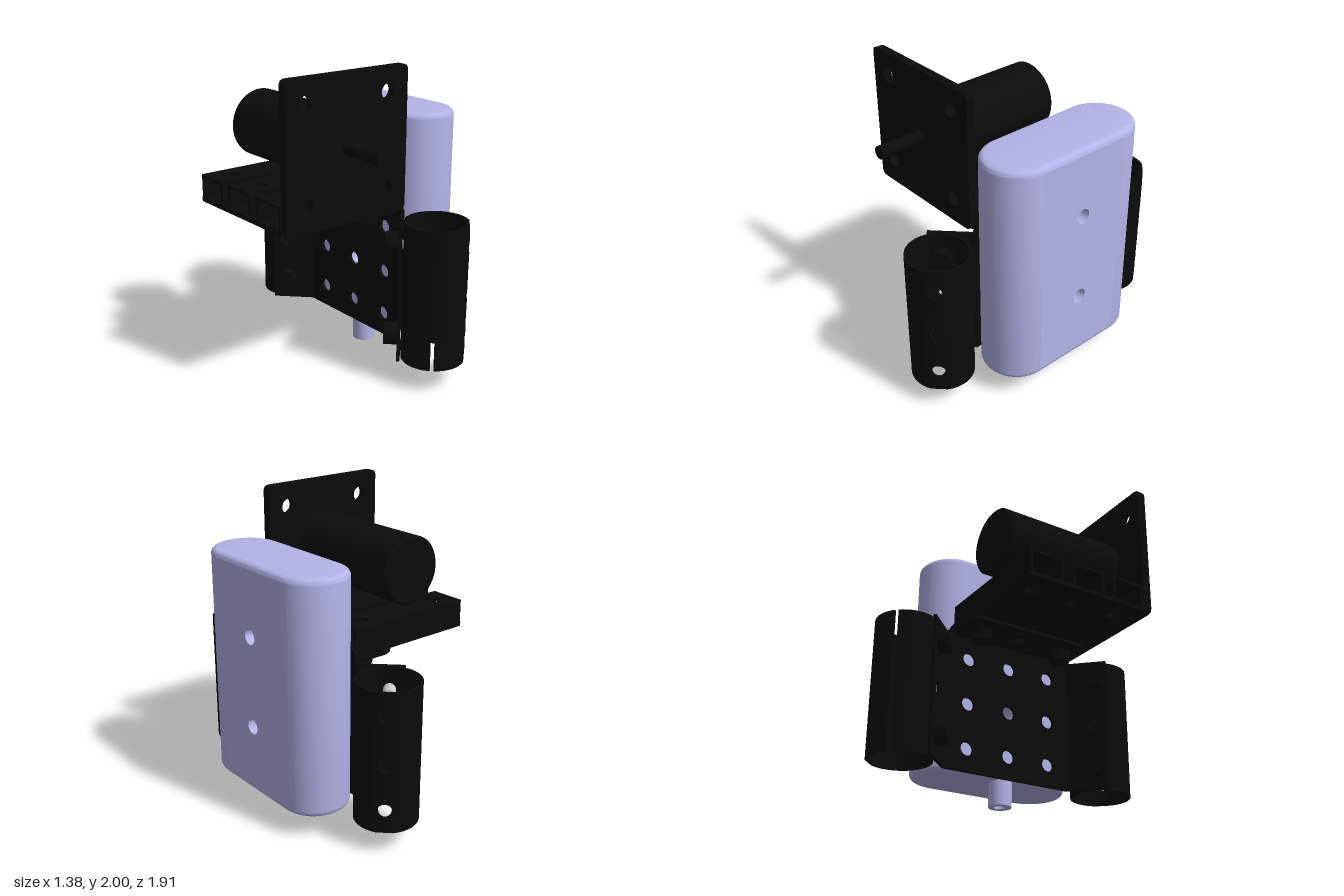
import * as THREE from 'three';
import { mergeGeometries, toCreasedNormals } from 'three/addons/utils/BufferGeometryUtils.js';

const mat = (color) => new THREE.MeshStandardMaterial({ color, side: THREE.DoubleSide });
const black = mat(0x0b0b0b), lavender = mat(0xb3b3e8), grey = mat(0xcccccc);

function add(parent, name, geometry, material, x = 0, y = 0, z = 0) {
  const mesh = new THREE.Mesh(geometry, material);
  mesh.name = name;
  mesh.position.set(x, y, z);
  parent.add(mesh);
  return mesh;
}

// Outline from corner points, with round holes given as [x, y, radius]
function outline(points, holes = []) {
  const shape = new THREE.Shape(points.map(([x, y]) => new THREE.Vector2(x, y)));
  for (const [x, y, r] of holes) shape.holes.push(new THREE.Path().absarc(x, y, r, 0, Math.PI * 2, true));
  return shape;
}
const rect = (x0, y0, x1, y1) => [[x0, y0], [x1, y0], [x1, y1], [x0, y1]];
const rounded = (x0, y0, x1, y1, c) => [[x0 + c, y0], [x1 - c, y0], [x1 - c * 0.3, y0 + c * 0.3], [x1, y0 + c],
  [x1, y1 - c], [x1 - c * 0.3, y1 - c * 0.3], [x1 - c, y1], [x0 + c, y1], [x0 + c * 0.3, y1 - c * 0.3],
  [x0, y1 - c], [x0, y0 + c], [x0 + c * 0.3, y0 + c * 0.3]];
const slab = (shape, depth) => new THREE.ExtrudeGeometry(shape, { depth, bevelEnabled: false, curveSegments: 16 });

// Pad: stadium cross-sections stacked upward, flat sides left open for the drilled panels
function padShell(R, half, y0, y1, fillet) {
  const n = 20, rows = [[0, y0]], pos = [], index = [];
  for (let i = 0; i <= 6; i++) {
    const a = (i / 6) * Math.PI / 2;
    rows.push([R - fillet * (1 - Math.sin(a)), y0 + fillet * (1 - Math.cos(a))]);
  }
  for (let i = 6; i >= 0; i--) {
    const a = (i / 6) * Math.PI / 2;
    rows.push([R - fillet * (1 - Math.sin(a)), y1 - fillet * (1 - Math.cos(a))]);
  }
  rows.push([0, y1]);
  const count = 2 * (n + 1);
  for (const [r, y] of rows)
    for (let j = 0; j < count; j++) {
      const second = j > n, a = Math.PI * (second ? 1 + (j - n - 1) / n : j / n);
      pos.push(r * Math.cos(a), y, (second ? -half : half) + r * Math.sin(a));
    }
  for (let k = 0; k < rows.length - 1; k++)
    for (let j = 0; j < count; j++) {
      if (k === 7 && (j === n || j === count - 1)) continue;
      const a = k * count + j, c = k * count + (j + 1) % count;
      index.push(a, a + count, c, c, a + count, c + count);
    }
  const g = new THREE.BufferGeometry();
  g.setAttribute('position', new THREE.Float32BufferAttribute(pos, 3));
  g.setIndex(index);
  return toCreasedNormals(g, 0.6);
}

// Slit tube: flat strips, two of them drilled, bent around the y axis (angle 0 is +z)
function slitTube(r, wall, y0, y1, slitAngle) {
  const parts = [], wide = Math.PI / 12;
  const strip = (a0, a1, holes = []) => {
    const g = slab(outline(rect(a0 * r, y0, a1 * r, y1), holes), wall);
    const p = g.attributes.position;
    for (let i = 0; i < p.count; i++) {
      const a = p.getX(i) / r, d = r - wall + p.getZ(i);
      p.setXYZ(i, d * Math.sin(a), p.getY(i), d * Math.cos(a));
    }
    parts.push(g);
  };
  for (const middle of [0, Math.PI]) {
    const drilled = middle + Math.PI / 2, gap = middle === slitAngle ? 0.06 : 0;
    strip(drilled - wide, drilled + wide, [0.31, 0.61, 0.92].map((y) => [drilled * r, y, 0.045]));
    const span = Math.PI / 2 - wide - gap, step = span / 8;
    for (const start of [middle - gap - span, middle + gap])
      for (let i = 0; i < 8; i++) strip(start + i * step, start + (i + 1) * step);
  }
  return toCreasedNormals(mergeGeometries(parts), 0.6);
}

export function createModel() {
  const model = new THREE.Group();

  // Pad with two cross bores and a hollow peg
  const pad = new THREE.Group();
  pad.name = 'pad';
  pad.position.x = 0.463;
  model.add(pad);
  const R = 0.227, half = 0.323, bores = [0.62, 1.22];
  add(pad, 'padShell', padShell(R, half, 0.16, 1.68, 0.04), lavender);
  const panel = new THREE.ShapeGeometry(outline(rect(-half, 0.2, half, 1.64), bores.map((y) => [0, y, 0.05])), 20);
  for (const s of [1, -1]) add(pad, 'padSide', panel, lavender, s * R).rotation.y = s * Math.PI / 2;
  for (const y of bores)
    add(pad, 'padBore', new THREE.CylinderGeometry(0.05, 0.05, 2 * R, 32, 1, true), lavender, 0, y).rotation.z = Math.PI / 2;
  const peg = new THREE.Shape().absarc(0, 0, 0.075, 0, Math.PI * 2);
  peg.holes.push(new THREE.Path().absarc(0, 0, 0.04, 0, Math.PI * 2, true));
  add(pad, 'peg', toCreasedNormals(slab(peg, 0.17), 0.6), lavender, -0.153).rotation.x = -Math.PI / 2;

  // Motor plate, motor and shaft
  const plateHoles = [-0.55, 0.06].flatMap((x) => [1.25, 1.85].map((y) => [x, y, 0.05]));
  add(model, 'motorPlate', slab(outline(rounded(-0.695, 1.09, 0.215, 2, 0.03), plateHoles), 0.055), black, 0, 0, 0.43);
  const body = [[0, -0.42], [0.205, -0.42], [0.22, -0.405], [0.22, 0.43], [0, 0.43]].map((p) => new THREE.Vector2(...p));
  add(model, 'motor', toCreasedNormals(new THREE.LatheGeometry(body, 48), 0.5), black, -0.245, 1.55).rotation.x = Math.PI / 2;
  add(model, 'shaft', new THREE.CylinderGeometry(0.042, 0.042, 0.37, 24), black, -0.245, 1.55, 0.605).rotation.x = Math.PI / 2;

  // Base: floor sheet carrying three drilled box rails
  const flat = (name, pts, holes, depth, y) => {
    add(model, name, slab(outline(pts, holes), depth), black, 0, y).rotation.x = -Math.PI / 2;
  };
  const rows = [-0.305, 0, 0.305];
  const floorHoles = rows.flatMap((z) => [[-0.545, z, 0.05], [0.065, z, 0.05]]);
  flat('baseFloor', rect(-0.695, -0.43, 0.215, 0.43), floorHoles, 0.03, 1.09);
  for (const z of rows) {
    flat('railTop', rect(-0.695, -z - 0.12, 0.215, -z + 0.12), [[-0.545, -z, 0.05], [0.065, -z, 0.05]], 0.02, 1.25);
    for (const s of [1, -1])
      add(model, 'railWall', new THREE.BoxGeometry(0.91, 0.15, 0.02), black, -0.24, 1.18, z + s * 0.11);
  }

  // Bracket: pierced upright with pointed gusset, and a shelf under the base
  const grid = rows.flatMap((z) => [0.31, 0.61, 0.92].map((y) => [z, y, 0.045]));
  const tip = [];
  for (let i = 0; i <= 10; i++) {
    const a = 0.45 + (i / 10) * (Math.PI - 0.9);
    tip.push([0.085 * Math.cos(a), 1.55 + 0.085 * Math.sin(a)]);
  }
  const upright = [[-0.46, 0.16], [0.46, 0.16], [0.46, 1.07], [0.44, 1.13], ...tip, [-0.44, 1.13], [-0.46, 1.07]];
  add(model, 'bracketUpright', slab(outline(upright, [...grid, [0, 1.22, 0.05], [0, 1.55, 0.045]]), 0.022), black, 0.213)
    .rotation.y = Math.PI / 2;
  flat('bracketShelf', rounded(-0.09, -0.455, 0.235, 0.455, 0.08), [[0.065, 0, 0.05]], 0.022, 1.069);
  for (const z of [0.305, -0.305]) {
    add(model, 'shelfBolt', new THREE.CylinderGeometry(0.045, 0.045, 0.22, 20), black, 0.065, 1.12, z);
    add(model, 'shelfNut', new THREE.CylinderGeometry(0.075, 0.075, 0.08, 6), black, 0.065, 1.03, z);
  }

  // Angled flanges with slit tubes bolted on, one at each end
  for (const s of [1, -1]) {
    const side = new THREE.Group();
    side.name = s > 0 ? 'frontTubeMount' : 'rearTubeMount';
    side.position.set(0.24, 0, s * 0.75);
    side.rotation.y = -s * Math.PI / 4;
    model.add(side);
    add(side, 'slitTube', slitTube(0.203, 0.018, 0.16, 1.07, s > 0 ? 0 : Math.PI), black);
    const ends = [0.2 * s, -0.095 * s].sort((a, b) => a - b);
    add(side, 'flange', slab(outline(rect(ends[0], 0.16, ends[1], 1.07), [[0, 0.61, 0.045]]), 0.02), black, -0.224)
      .rotation.y = Math.PI / 2;
    for (const y of [0.31, 0.92]) {
      const rod = (name, r, x0, x1, sides, m) =>
        add(side, name, new THREE.CylinderGeometry(r, r, x1 - x0, sides), m, (x0 + x1) / 2, y).rotation.z = Math.PI / 2;
      rod('boltHead', 0.072, -0.31, -0.222, 24, black);
      rod('boltShank', 0.04, -0.23, -0.09, 20, grey);
      if (s > 0) rod('boltNut', 0.085, -0.155, -0.085, 6, black);
    }
  }
  return model;
}
